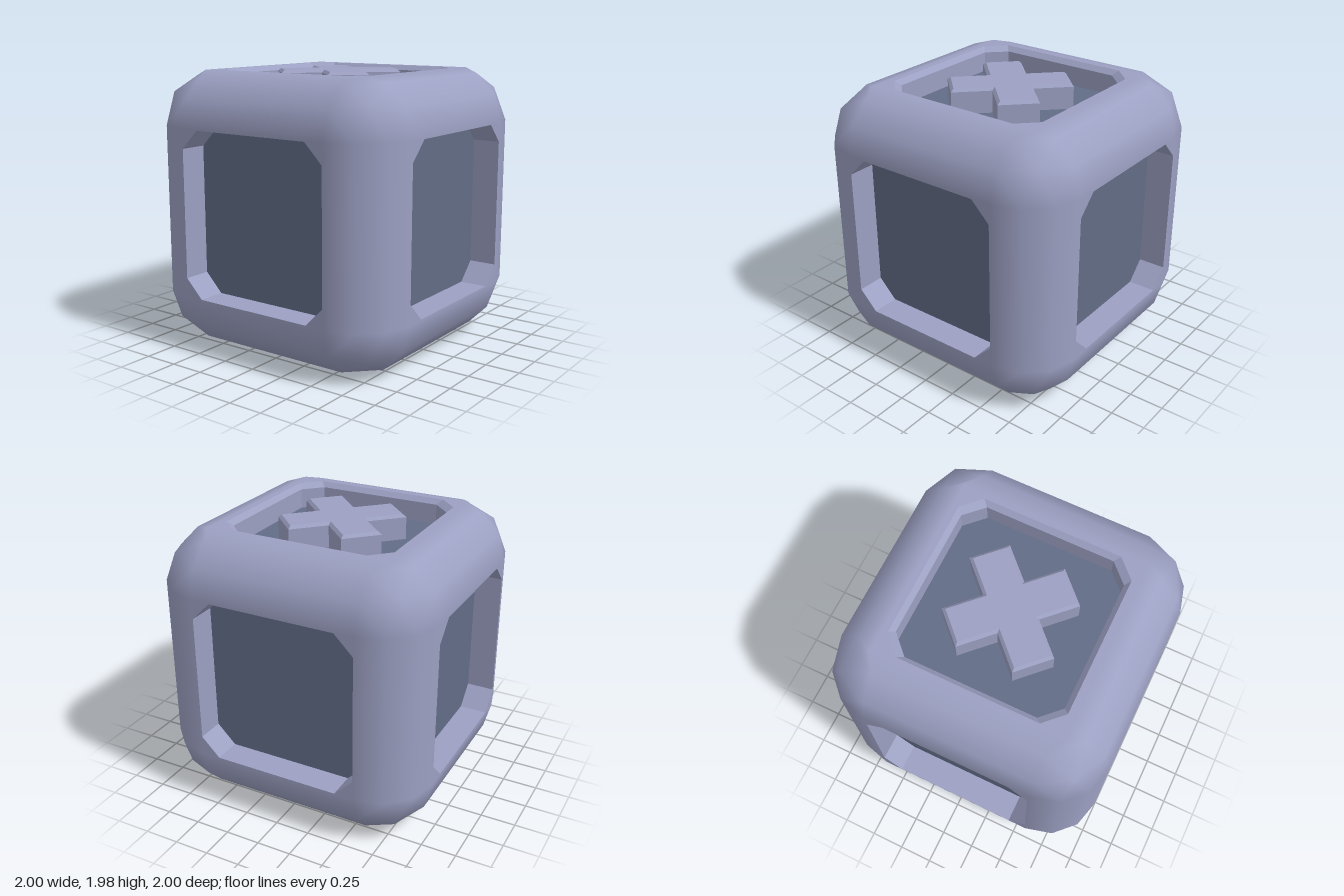
import * as THREE from 'three';

const FLAT = 0.6;    // half width of the flat part of each side
const ROUND = 0.4;   // edge radius
const FLOOR = 0.8;   // distance of the recessed panels from the centre
const TOP = 0.98;    // the top is trimmed slightly lower
const TOP_FLAT = 0.674;

const shellMaterial = new THREE.MeshStandardMaterial({ color: 0x9ca0c2 });
shellMaterial.name = 'light lavender';
const panelMaterial = new THREE.MeshStandardMaterial({ color: 0x626c86 });
panelMaterial.name = 'slate blue';

function mesh(name, geometry, material) {
  const m = new THREE.Mesh(geometry, material);
  m.name = name;
  return m;
}

// Square with cut corners, counter-clockwise
function octagon(h, cut) {
  const c = h - cut;
  const pts = [[h, -c], [h, c], [c, h], [-c, h], [-h, c], [-h, -c], [-c, -h], [c, -h]];
  return pts.map(([x, y]) => new THREE.Vector2(x, y));
}

// Rounded edges and corners, three segments to each quarter turn
function roundedShell() {
  const positions = [], normals = [];
  const corner = (s, b) => {
    const n = new THREE.Vector3(...b.map((v, i) => s[i] * Math.sin(v * Math.PI / 6))).normalize();
    const p = new THREE.Vector3(...s).multiplyScalar(FLAT).addScaledVector(n, ROUND);
    if (n.y > 0.99) p.set(s[0] * TOP_FLAT, TOP, s[2] * TOP_FLAT);
    return { p, n };
  };
  const tri = (a, b, c) => {
    const face = b.p.clone().sub(a.p).cross(c.p.clone().sub(a.p));
    const out = a.n.clone().add(b.n).add(c.n);
    for (const v of face.dot(out) < 0 ? [a, c, b] : [a, b, c]) {
      positions.push(...v.p.toArray());
      normals.push(...v.n.toArray());
    }
  };
  // Corners
  for (const x of [-1, 1]) for (const y of [-1, 1]) for (const z of [-1, 1]) {
    const at = (i, j) => corner([x, y, z], [i, j, 3 - i - j]);
    for (let i = 0; i < 3; i++) for (let j = 0; i + j < 3; j++) {
      tri(at(i, j), at(i + 1, j), at(i, j + 1));
      if (i + j < 2) tri(at(i + 1, j), at(i + 1, j + 1), at(i, j + 1));
    }
  }
  // Edges
  for (let axis = 0; axis < 3; axis++) for (const u of [-1, 1]) for (const v of [-1, 1]) {
    const at = (end, t) => {
      const s = [], b = [];
      s[axis] = end; s[(axis + 1) % 3] = u; s[(axis + 2) % 3] = v;
      b[axis] = 0; b[(axis + 1) % 3] = t; b[(axis + 2) % 3] = 3 - t;
      return corner(s, b);
    };
    for (let t = 0; t < 3; t++) {
      tri(at(-1, t), at(1, t), at(1, t + 1));
      tri(at(-1, t), at(1, t + 1), at(-1, t + 1));
    }
  }
  const g = new THREE.BufferGeometry();
  g.setAttribute('position', new THREE.Float32BufferAttribute(positions, 3));
  g.setAttribute('normal', new THREE.Float32BufferAttribute(normals, 3));
  return g;
}

// Inward-facing walls through a list of rings [half width, corner cut, z]
function recessWalls(rings) {
  const positions = [];
  for (let r = 0; r + 1 < rings.length; r++) {
    const [outer, inner] = [rings[r], rings[r + 1]].map(([h, cut, z]) =>
      octagon(h, cut).map(p => [p.x, p.y, z]));
    for (let i = 0; i < 8; i++) {
      const j = (i + 1) % 8;
      positions.push(...outer[i], ...outer[j], ...inner[j], ...outer[i], ...inner[j], ...inner[i]);
    }
  }
  const g = new THREE.BufferGeometry();
  g.setAttribute('position', new THREE.Float32BufferAttribute(positions, 3));
  g.computeVertexNormals();
  return g;
}

// One side: rim, recess walls and sunken panel, facing +z
function makeSide(name, flat, rings) {
  const side = new THREE.Group();
  side.name = name;
  const [h, cut, z] = rings[0];
  const rim = new THREE.Shape(octagon(flat, 0.0001));
  rim.holes.push(new THREE.Path(octagon(h, cut).reverse()));
  const [ph, pcut, pz] = rings[rings.length - 1];
  side.add(
    mesh('rim', new THREE.ShapeGeometry(rim).translate(0, 0, z), shellMaterial),
    mesh('recessWalls', recessWalls(rings), shellMaterial),
    mesh('panel', new THREE.ShapeGeometry(new THREE.Shape(octagon(ph, pcut))).translate(0, 0, pz), panelMaterial)
  );
  return side;
}

// Raised diagonal cross with a bevelled top
function crossGeometry() {
  const w = 0.2, l = 0.4;
  const pts = [];
  for (let q = 0; q < 4; q++) {
    for (const [x, y] of [[w, 0], [l, w], [w, l]]) {
      pts.push(new THREE.Vector2(x, y).rotateAround(new THREE.Vector2(), q * Math.PI / 2));
    }
  }
  const bevel = 0.02;
  const depth = TOP - FLOOR;
  return new THREE.ExtrudeGeometry(new THREE.Shape(pts), {
    depth: depth - bevel, bevelEnabled: true, bevelSegments: 1,
    bevelSize: bevel, bevelThickness: bevel, bevelOffset: -bevel
  }).translate(0, 0, FLOOR);
}

export function createModel() {
  const model = new THREE.Group();
  model.name = 'recessedCube';
  const block = new THREE.Group();
  block.name = 'block';
  block.position.y = 1;
  model.add(block);
  block.add(mesh('roundedShell', roundedShell(), shellMaterial));

  // Four upright sides
  ['frontSide', 'leftSide', 'backSide', 'rightSide'].forEach((name, i) => {
    const side = makeSide(name, FLAT, [[0.595, 0.135, 1], [0.595, 0.135, FLOOR]]);
    side.rotation.y = i * Math.PI / 2;
    block.add(side);
  });

  // Top with a bevelled opening and the cross
  const top = makeSide('topSide', TOP_FLAT,
    [[0.63, 0.13, TOP], [0.595, 0.13, TOP - 0.035], [0.595, 0.13, FLOOR]]);
  top.add(mesh('cross', crossGeometry(), shellMaterial));
  top.rotation.x = -Math.PI / 2;
  block.add(top);

  // Bottom with a plain square opening
  const bottom = makeSide('bottomSide', FLAT, [[0.595, 0.0001, 1], [0.595, 0.0001, FLOOR]]);
  bottom.rotation.x = Math.PI / 2;
  block.add(bottom);
  return model;
}
